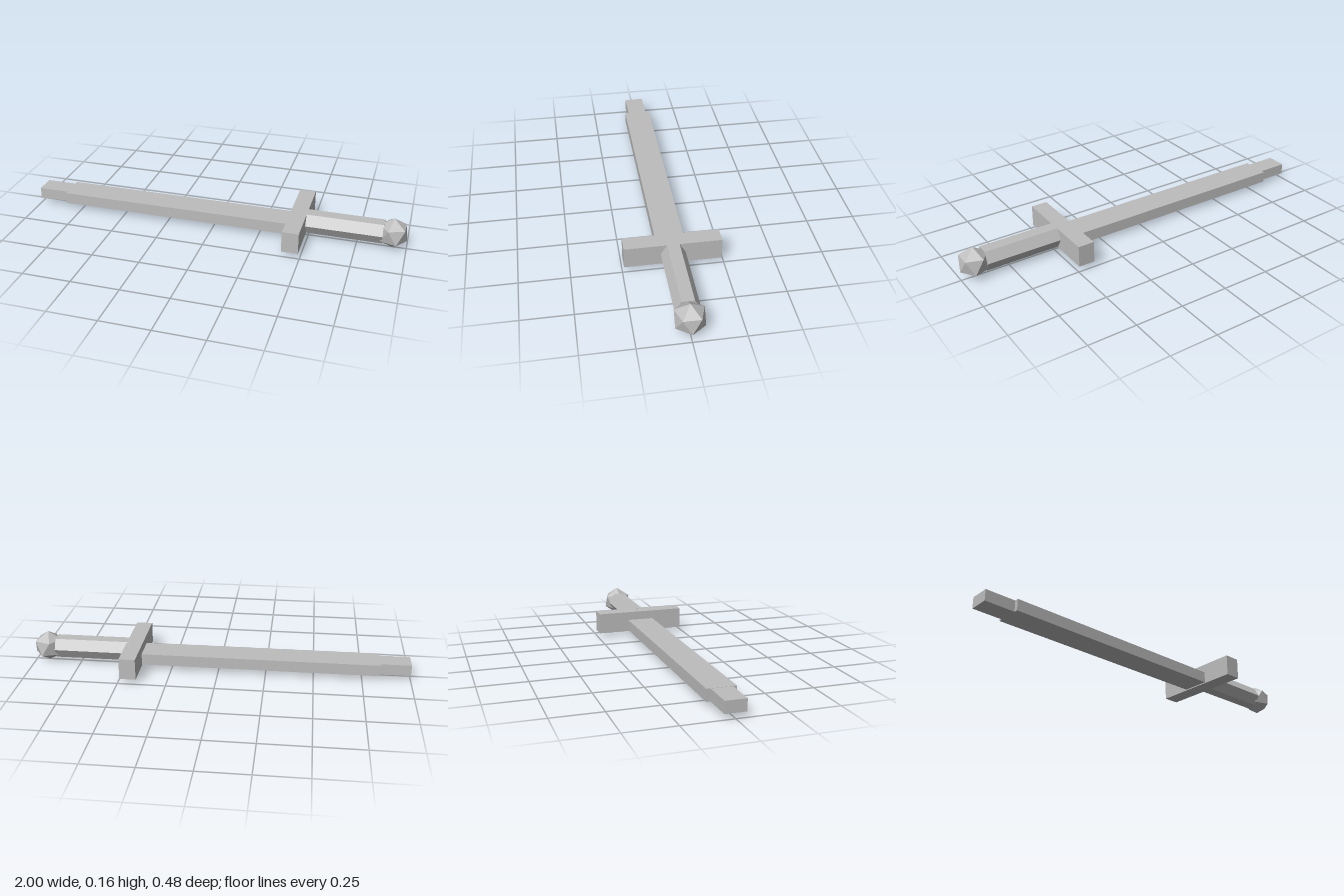
import * as THREE from 'three';

export function createModel() {
  const group = new THREE.Group();
  group.name = 'sword';
  const steel = new THREE.MeshStandardMaterial({ color: 0xbdbdbd });
  steel.name = 'grey steel';
  steel.flatShading = true;

  const add = (name, geometry, x, y) => {
    const mesh = new THREE.Mesh(geometry, steel);
    mesh.name = name;
    mesh.position.set(x, y, 0);
    group.add(mesh);
  };
  // Box spanning x0..x1 and y0..y1, centred on z
  const addBox = (name, x0, x1, y0, y1, depth) =>
    add(name, new THREE.BoxGeometry(x1 - x0, y1 - y0, depth), (x0 + x1) / 2, (y0 + y1) / 2);

  addBox('bladeTip', -1, -0.84, 0.029, 0.088, 0.104);
  addBox('blade', -0.84, 0.41, 0.029, 0.089, 0.144);
  addBox('crossGuard', 0.405, 0.49, 0.024, 0.135, 0.48);

  // Six-sided grip lying along x, with flat faces above and below
  const grip = new THREE.CylinderGeometry(0.061, 0.061, 0.4, 6);
  grip.rotateZ(Math.PI / 2);
  add('grip', grip, 0.68, 0.083);

  // Twenty-sided pommel with one corner pointing straight up
  const pommel = new THREE.IcosahedronGeometry(0.0815, 0);
  pommel.rotateZ(Math.atan(2 / (1 + Math.sqrt(5))));
  add('pommel', pommel, 0.927, 0.0835);

  return group;
}
